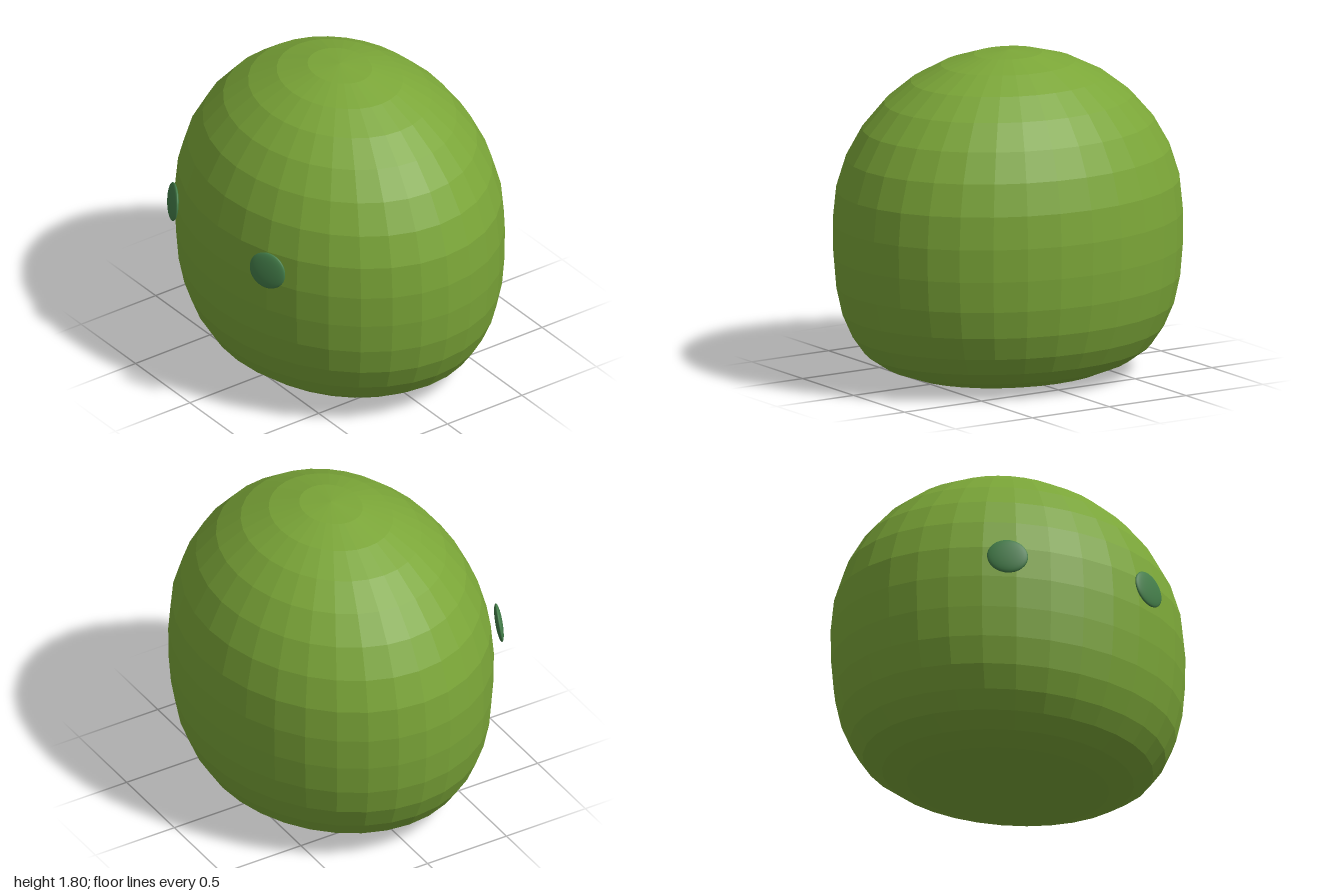
import * as THREE from 'three';

export function createModel() {
  const model = new THREE.Group();

  const bodyGreen = new THREE.MeshStandardMaterial({ color: 0x7ba638, flatShading: true });
  bodyGreen.name = 'leaf green';
  const eyeGreen = new THREE.MeshStandardMaterial({ color: 0x447e4a });
  eyeGreen.name = 'dark green';

  // Body: round dome above, squashed towards a flat base below
  const rings = 16;
  const lowerHeights = [0, 0.004, 0.03, 0.08, 0.153, 0.25, 0.378, 0.53, 0.70];
  const lowerRadii = [0, 0.42, 0.57, 0.71, 0.82, 0.89, 0.948, 0.983, 0.998];
  const profile = lowerHeights.map((y, i) => new THREE.Vector2(lowerRadii[i], y));
  for (let i = rings / 2; i >= 0; i--) {
    const a = (i / rings) * Math.PI;
    profile.push(new THREE.Vector2(Math.sin(a), 0.88 + 0.92 * Math.cos(a)));
  }
  profile[profile.length - 1].x = 0;
  const body = new THREE.Mesh(new THREE.LatheGeometry(profile, 32), bodyGreen);
  body.name = 'body';
  body.scale.z = 0.837;
  body.position.z = -0.007;
  model.add(body);

  // Eyes: flattened discs following the curve of the face
  const eyeShape = new THREE.SphereGeometry(1, 32, 16);
  for (const [name, x, z, turn] of [['leftEye', 0.425, 0.789, 0.4], ['rightEye', -0.45, 0.785, -0.44]]) {
    const eye = new THREE.Mesh(eyeShape, eyeGreen);
    eye.name = name;
    eye.scale.set(0.112, 0.104, 0.02);
    eye.position.set(x, 0.98, z);
    eye.rotation.set(-0.13, turn, 0, 'YXZ');
    model.add(eye);
  }

  return model;
}
